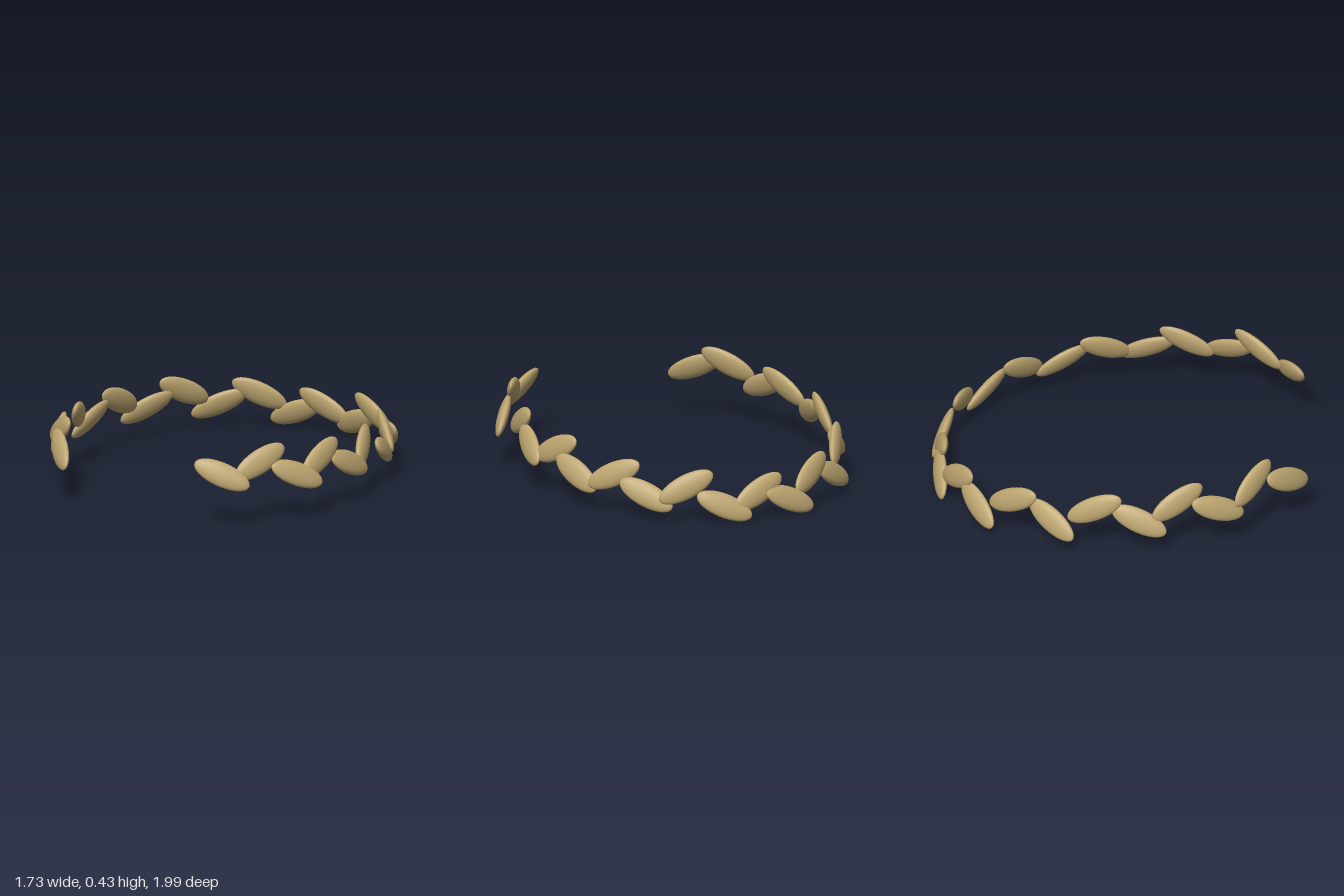
import * as THREE from 'three';

// Each leaf: x, y, z of its centre, then its horizontal run dx, dz along the wreath
const LEAVES = [
  [-0.55, 0.28, 0.877, -0.195, -0.225],
  [-0.655, 0.33, 0.69, -0.21, -0.18],
  [-0.772, 0.25, 0.5, -0.085, -0.245],
  [-0.775, 0.295, 0.283, -0.11, -0.265],
  [-0.82, 0.21, 0.078, 0.06, -0.28],
  [-0.775, 0.262, -0.158, 0.04, -0.285],
  [-0.738, 0.17, -0.385, 0.185, -0.21],
  [-0.625, 0.23, -0.588, 0.15, -0.235],
  [-0.515, 0.127, -0.772, 0.24, -0.14],
  [-0.325, 0.187, -0.872, 0.24, -0.145],
  [-0.152, 0.088, -0.96, 0.3, -0.015],
  [0.03, 0.15, -0.947, 0.27, -0.025],
  [0.228, 0.095, -0.935, 0.275, 0.11],
  [0.4, 0.194, -0.823, 0.28, 0.095],
  [0.57, 0.14, -0.69, 0.185, 0.2],
  [0.662, 0.215, -0.495, 0.205, 0.21],
  [0.772, 0.18, -0.28, 0.075, 0.26],
  [0.775, 0.258, -0.053, 0.1, 0.265],
  [0.817, 0.225, 0.168, -0.055, 0.275],
  [0.758, 0.298, 0.38, -0.045, 0.295],
  [0.745, 0.26, 0.605, -0.16, 0.205],
  [0.603, 0.345, 0.755, -0.145, 0.22],
  [0.468, 0.295, 0.925, -0.275, 0.12],
];

export function createModel() {
  const group = new THREE.Group();
  group.name = 'laurelWreath';
  const gold = new THREE.MeshStandardMaterial({ color: 0xbda570 });
  gold.name = 'dull gold';

  // Flat oval leaf, long along x and upright along y
  const leafShape = new THREE.SphereGeometry(1, 32, 20);
  leafShape.scale(0.16, 0.065, 0.029);

  // Leaves alternate between rising and falling, their tops leaning into the ring
  LEAVES.forEach(([x, y, z, dx, dz], i) => {
    const rising = i % 2 === 0;
    const leaf = new THREE.Mesh(leafShape, gold);
    leaf.name = `leaf${i + 1}`;
    leaf.position.set(x, y, z);
    leaf.rotation.set(rising ? 0.38 : 0.24, Math.atan2(-dz, dx), rising ? 0.41 : -0.46, 'YZX');
    group.add(leaf);
  });
  return group;
}
